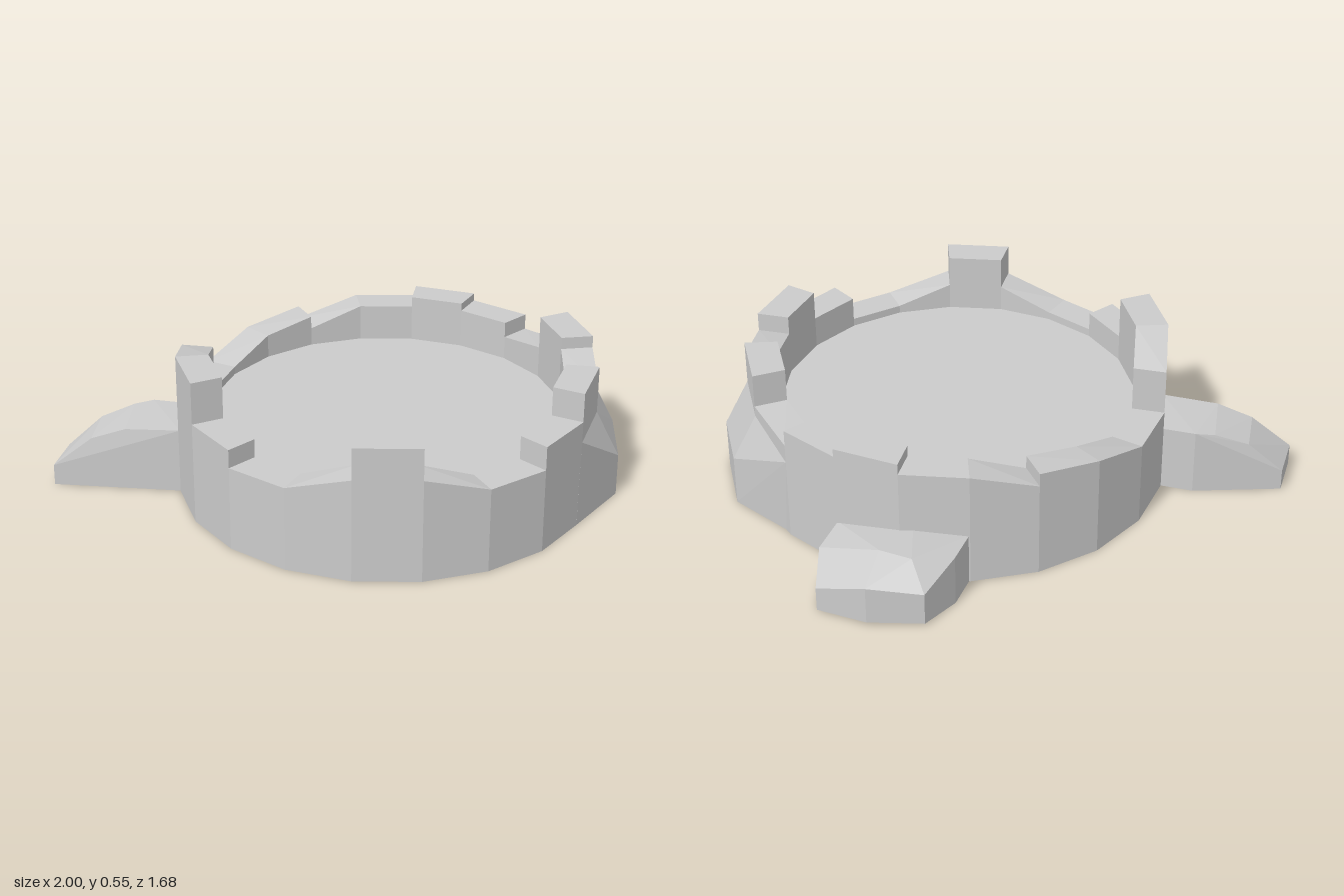
import * as THREE from 'three';
import { ConvexGeometry } from 'three/addons/geometries/ConvexGeometry.js';

const CX = 0.14, CZ = 0.06, SIDES = 20, R_OUT = 0.775, R_IN = 0.655;

export function createModel() {
  const model = new THREE.Group();
  const material = new THREE.MeshStandardMaterial({ color: 0xcccccc, flatShading: true });

  const add = (name, geometry, parent = model) => {
    const mesh = new THREE.Mesh(geometry, material);
    mesh.name = name;
    parent.add(mesh);
    return mesh;
  };
  const hull = (name, points, parent) =>
    add(name, new ConvexGeometry(points.map((p) => new THREE.Vector3(...p))), parent);
  // Point on the round plan, counted in wall corners from the front
  const corner = (i, r, y) => {
    const a = (i / SIDES) * Math.PI * 2;
    return [CX + r * Math.sin(a), y, CZ + r * Math.cos(a)];
  };

  // Broken ring wall: start and end height of each segment, front first
  const heights = [
    [0.33, 0.33], [0.42, 0.42], [0.53, 0.53], [0.46, 0.5], [0.545, 0.545],
    [0.42, 0.39], [0.45, 0.45], [0.48, 0.48], [0.44, 0.44], [0.44, 0.37],
    [0.42, 0.39], [0.39, 0.33], [0.33, 0.33], [0.5, 0.56], [0.56, 0.56],
    [0.4, 0.4], [0.33, 0.33], [0.33, 0.4], [0.52, 0.52], [0.4, 0.33],
  ];
  const wall = new THREE.Group();
  wall.name = 'ringWall';
  model.add(wall);
  heights.forEach(([h0, h1], i) => {
    const pts = [];
    for (const r of [R_IN, R_OUT]) {
      pts.push(corner(i, r, 0.01), corner(i, r, h0), corner(i + 1, r, 0.01), corner(i + 1, r, h1));
    }
    hull('wallSegment', pts, wall);
  });

  // Sloping bulge at the foot of the wall: wall corner, foot x and z, foot top, slope top
  const bulge = [
    [2, 0.59, 0.69, 0.17, 0.34], [3, 0.85, 0.55, 0.17, 0.35], [4, 0.96, 0.34, 0.2, 0.38],
    [5, 1.0, 0.09, 0.2, 0.38], [6, 0.87, -0.17, 0.3, 0.32],
  ];
  const buttress = new THREE.Group();
  buttress.name = 'wallBulge';
  model.add(buttress);
  for (let k = 0; k < bulge.length - 1; k++) {
    const pts = [];
    for (const [i, x, z, mid, top] of [bulge[k], bulge[k + 1]]) {
      pts.push([x, 0.01, z], [x, mid, z], corner(i, R_OUT, top), corner(i, R_OUT - 0.05, 0.01),
        corner(i, R_OUT - 0.05, top));
    }
    hull('bulgeSegment', pts, buttress);
  }

  // Sunken floor: a base drum and two stepped rings
  const drum = add('floor', new THREE.CylinderGeometry(R_IN + 0.02, R_IN + 0.02, 0.24, SIDES));
  drum.position.set(CX, 0.13, CZ);
  const polygon = (Target, r, sides) => {
    const pts = [];
    for (let i = 0; i < sides; i++) {
      const a = (i / sides) * Math.PI * 2;
      pts.push(new THREE.Vector2(r * Math.sin(a), r * Math.cos(a)));
    }
    return new Target(pts);
  };
  const step = (name, hole, sides, y) => {
    const shape = polygon(THREE.Shape, R_IN + 0.02, SIDES);
    shape.holes.push(polygon(THREE.Path, hole, sides));
    const geometry = new THREE.ExtrudeGeometry(shape, { depth: 0.025, bevelEnabled: false });
    add(name, geometry.rotateX(-Math.PI / 2)).position.set(CX, y, CZ);
  };
  step('innerStep', 0.365, 14, 0.25);
  step('outerStep', 0.54, SIDES, 0.275);

  // Faceted rock against the back
  hull('backRock', [
    [0.38, 0.01, -0.67], [0.47, 0.01, -0.77], [0.61, 0.02, -0.85], [0.79, 0.02, -0.77],
    [0.92, 0.01, -0.63], [0.86, 0.01, -0.49], [0.76, 0.01, -0.39], [0.5, 0.01, -0.45],
    [0.38, 0.2, -0.67], [0.47, 0.2, -0.77], [0.61, 0.14, -0.85], [0.79, 0.16, -0.77],
    [0.92, 0.1, -0.63], [0.86, 0.16, -0.49], [0.76, 0.175, -0.39], [0.7, 0.22, -0.66],
    [0.62, 0.23, -0.76], [0.5, 0.2, -0.45],
  ]);

  // Tapering spur: cross-sections from tip to root as height and two ends
  const spur = [
    [0.09, -1.0, -0.44, -0.89, -0.58], [0.205, -0.87, -0.37, -0.77, -0.53],
    [0.25, -0.76, -0.3, -0.65, -0.49], [0.26, -0.59, -0.18, -0.48, -0.39],
    [0.26, -0.59, -0.18, -0.58, -0.47],
  ];
  hull('sideSpur', spur.flatMap(([y, x0, z0, x1, z1]) =>
    [[x0, 0.01, z0], [x0, y, z0], [x1, 0.01, z1], [x1, y, z1]]));

  return model;
}
